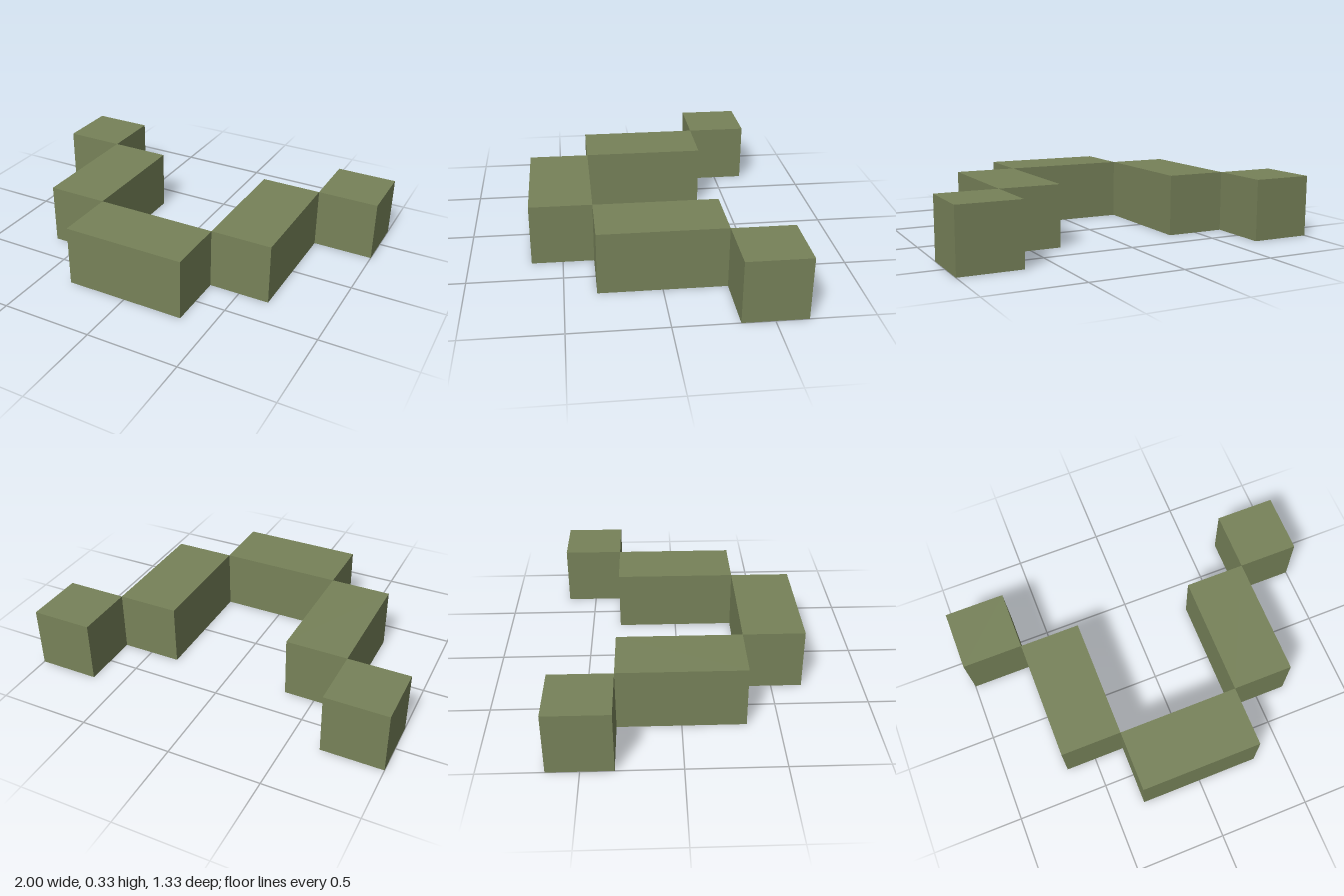
import * as THREE from 'three';

const U = 1 / 3; // edge of one cube unit

export function createModel() {
  const model = new THREE.Group();
  model.name = 'steppedArc';

  const olive = new THREE.MeshStandardMaterial({ color: 0x778259 });
  olive.name = 'olive green';

  // Block sized and placed in cube units, standing on the ground
  const addBlock = (name, width, depth, x, z) => {
    const block = new THREE.Mesh(new THREE.BoxGeometry(width * U, U, depth * U), olive);
    block.name = name;
    block.position.set(x * U, U / 2, z * U);
    model.add(block);
  };

  // Front bar, then mirrored arms and end cubes meeting corner to corner
  addBlock('frontBar', 2, 1, 0, 1.5);
  for (const [side, s] of [['left', 1], ['right', -1]]) {
    addBlock(`${side}Arm`, 1, 2, s * 1.5, 0);
    addBlock(`${side}EndCube`, 1, 1, s * 2.5, -1.5);
  }
  return model;
}
